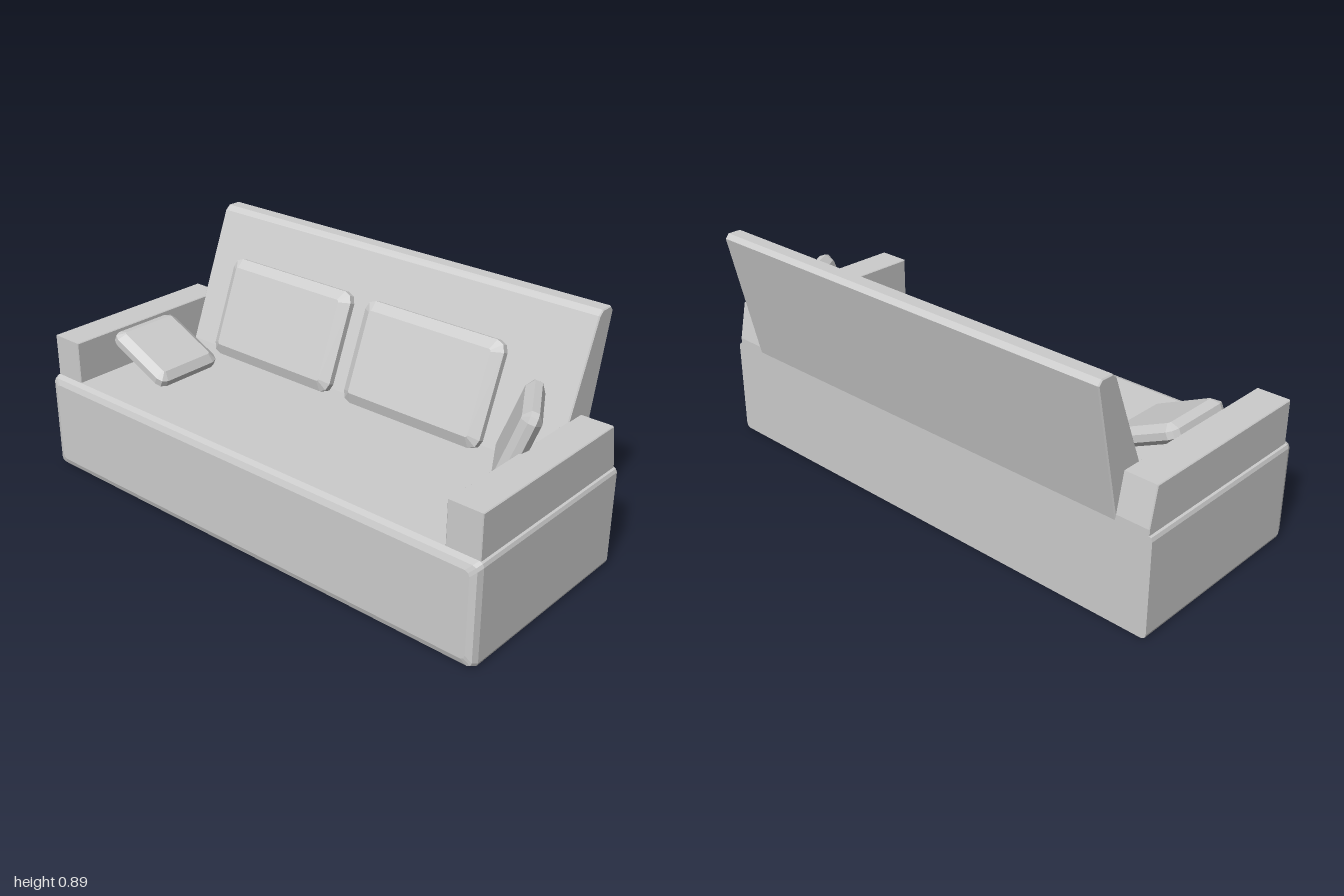
import * as THREE from 'three';
import { ConvexGeometry } from 'three/addons/geometries/ConvexGeometry.js';

const material = new THREE.MeshStandardMaterial({ color: 0xcccccc });

function addPart(group, name, geometry) {
  const mesh = new THREE.Mesh(geometry, material);
  mesh.name = name;
  group.add(mesh);
  return mesh;
}

// Rectangle centred on (0, cy) with eased corners
function easedRect(w, h, cut, cy = 0) {
  const x = w / 2, y = h / 2, m = cut * 0.3;
  const corner = [[x, y - cut], [x - m, y - m], [x - cut, y]];
  const mirror = (sx, sy) => corner.map(([a, b]) => new THREE.Vector2(a * sx, b * sy + cy));
  return [
    ...mirror(1, 1), ...mirror(-1, 1).reverse(),
    ...mirror(-1, -1), ...mirror(1, -1).reverse(),
  ];
}

// Side profile of [z, y] points, extruded along x with a small chamfer
function sideExtrude(points, width, bevel) {
  const shape = new THREE.Shape(points.map(([z, y]) => new THREE.Vector2(z, y)));
  const geo = new THREE.ExtrudeGeometry(shape, {
    depth: width - 2 * bevel, bevelEnabled: true, bevelSize: bevel,
    bevelOffset: -bevel, bevelThickness: bevel, bevelSegments: 1,
  });
  geo.translate(0, 0, bevel - width / 2);
  geo.rotateY(-Math.PI / 2);
  return geo;
}

// Flat cushion with a wide chamfer around both faces; its face points to +z
function cushion(w, h, thickness, inset, chamfer) {
  const shape = new THREE.Shape(easedRect(w - 2 * inset, h - 2 * inset, 0.008));
  const depth = thickness - 2 * chamfer;
  const geo = new THREE.ExtrudeGeometry(shape, {
    depth, bevelEnabled: true, bevelSize: inset, bevelThickness: chamfer, bevelSegments: 1,
  });
  geo.translate(0, 0, -depth / 2);
  return geo;
}

export function createModel() {
  const sofa = new THREE.Group();
  sofa.name = 'sofa';

  // Seat base: flat at the back, eased at the front: [z, inset]
  const sections = [[-0.34, 0], [0.425, 0], [0.447, 0.008], [0.455, 0.03]];
  const basePoints = sections.flatMap(([z, inset]) =>
    easedRect(2 - 2 * inset, 0.38 - 2 * inset, 0.018, 0.19)
      .map((p) => new THREE.Vector3(p.x, p.y, z)));
  addPart(sofa, 'seatBase', new ConvexGeometry(basePoints));

  // Armrests, sloped at the rear
  const armProfile = [[0.425, 0.36], [0.425, 0.542], [-0.31, 0.542], [-0.34, 0.4], [-0.34, 0.36]];
  for (const [name, side] of [['leftArm', 1], ['rightArm', -1]]) {
    addPart(sofa, name, sideExtrude(armProfile, 0.13, 0.003)).position.x = side * 0.922;
  }

  // Reclined backrest, tapering to the top
  const backProfile = [
    [-0.165, 0.37], [-0.37, 0.875], [-0.39, 0.892],
    [-0.44, 0.892], [-0.455, 0.875], [-0.338, 0.37],
  ];
  addPart(sofa, 'backrest', sideExtrude(backProfile, 1.725, 0.004));

  // Large cushions leaning on the backrest
  for (const [name, x] of [['leftBackCushion', 0.287], ['rightBackCushion', -0.39]]) {
    const mesh = addPart(sofa, name, cushion(0.605, 0.385, 0.074, 0.037, 0.025));
    mesh.position.set(x, 0.56, -0.195);
    mesh.rotation.x = -0.385;
  }

  // Small pillow lying against the right arm
  const lying = addPart(sofa, 'rightPillow', cushion(0.295, 0.295, 0.07, 0.03, 0.022));
  lying.position.set(-0.702, 0.467, 0.13);
  lying.rotation.set(-Math.PI / 2, 0, -0.436, 'ZXY');

  // Small pillow standing turned against the left arm
  const standing = addPart(sofa, 'leftPillow', cushion(0.295, 0.305, 0.07, 0.03, 0.022));
  standing.position.set(0.777, 0.532, -0.067);
  standing.rotation.set(-0.35, -1.04, 0, 'YXZ');

  return sofa;
}
